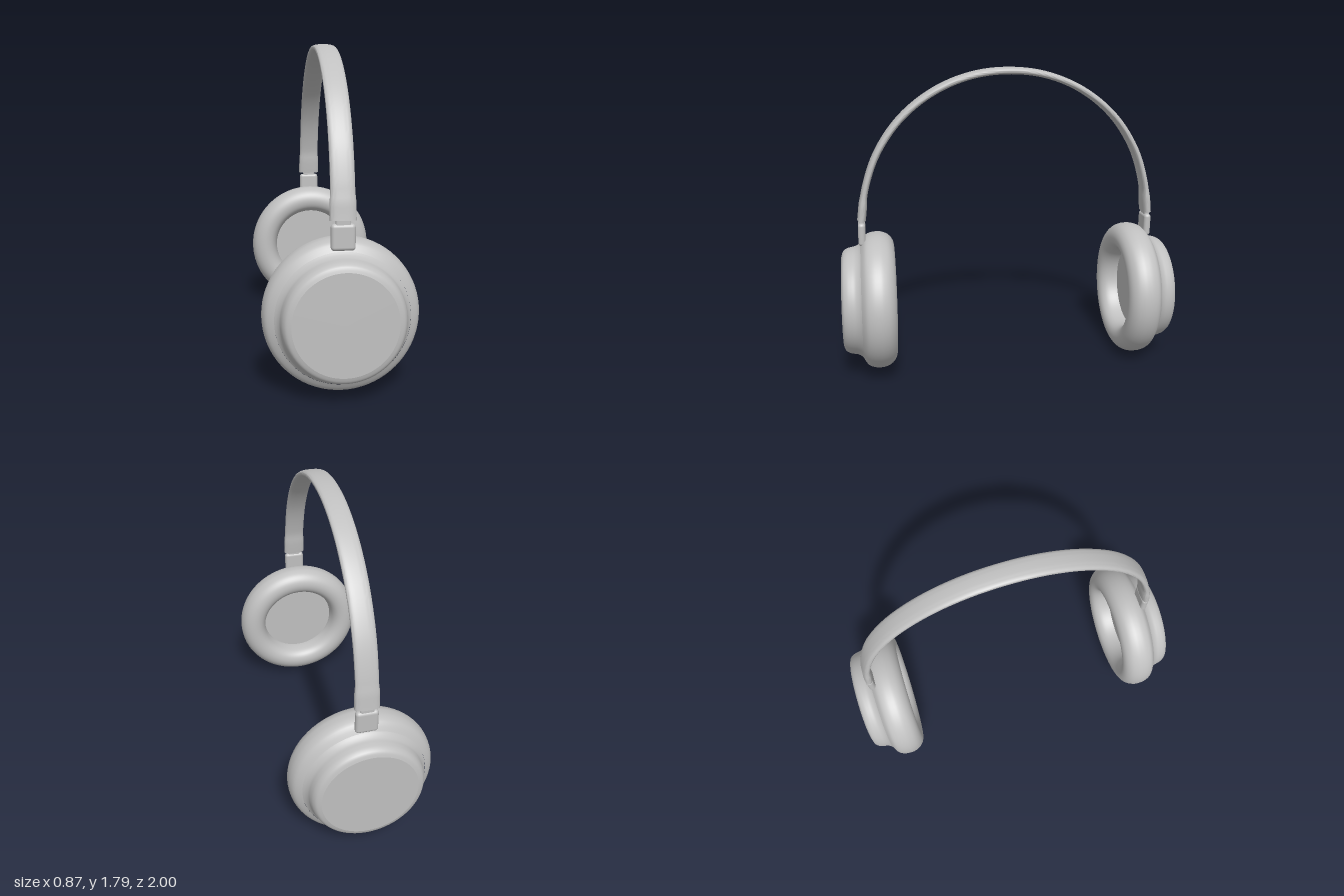
import * as THREE from 'three';
import { toCreasedNormals } from 'three/addons/utils/BufferGeometryUtils.js';
import { RoundedBoxGeometry } from 'three/addons/geometries/RoundedBoxGeometry.js';

const CUP_Y = 0.422;

// Smooth profile of [radius, depth] pairs
const smooth = (pts, n) =>
  new THREE.SplineCurve(pts.map(([r, z]) => new THREE.Vector2(r, z))).getPoints(n);

// Revolve a profile around the cup axis (z)
function revolve(points) {
  return new THREE.LatheGeometry(points, 72).rotateX(Math.PI / 2);
}

// Headband: a cylinder bent along an arch, with a soft flat section and flared ends
function bandGeometry() {
  const half = [[0.863, 0.92], [0.837, 1.1], [0.763, 1.31], [0.622, 1.51], [0.428, 1.66], [0.215, 1.745]];
  const pts = half.map(([z, y]) => new THREE.Vector3(0, y, z));
  pts.push(new THREE.Vector3(0, 1.77, 0));
  half.slice().reverse().forEach(([z, y]) => pts.push(new THREE.Vector3(0, y, -z)));
  const curve = new THREE.CatmullRomCurve3(pts);
  const soft = (v) => Math.sign(v) * Math.abs(v) ** 0.75;
  const geo = new THREE.CylinderGeometry(1, 1, 1, 32, 120);
  const pos = geo.attributes.position;
  const side = new THREE.Vector3(1, 0, 0);
  for (let i = 0; i < pos.count; i++) {
    const t = THREE.MathUtils.clamp(pos.getY(i) + 0.5, 0, 1);
    const flare = 1 - THREE.MathUtils.smoothstep(Math.min(t, 1 - t), 0.03, 0.055);
    const normal = side.clone().cross(curve.getTangentAt(t));
    const p = curve.getPointAt(t)
      .addScaledVector(side, soft(pos.getX(i)) * (0.062 + 0.005 * flare))
      .addScaledVector(normal, soft(pos.getZ(i)) * (0.02 + 0.005 * flare));
    pos.setXYZ(i, p.x, p.y, p.z);
  }
  return toCreasedNormals(geo, 0.9);
}

export function createModel() {
  const grey = new THREE.MeshStandardMaterial({ color: 0xc0c0c0 });
  grey.name = 'grey';
  const model = new THREE.Group();
  model.name = 'headphones';

  const add = (parent, name, geo, x = 0, y = 0, z = 0) => {
    const mesh = new THREE.Mesh(geo, grey);
    mesh.name = name;
    mesh.position.set(x, y, z);
    parent.add(mesh);
  };

  add(model, 'headband', bandGeometry());

  // Ear cup parts, from the inside outwards
  const flat = (r0, r1, z) => [new THREE.Vector2(r0, z), new THREE.Vector2(r1, z)];
  const speaker = revolve(flat(0, 0.24, 0.79));
  const cushion = revolve(smooth([
    [0.236, 0.795], [0.238, 0.765], [0.25, 0.72], [0.276, 0.69], [0.315, 0.679], [0.355, 0.688],
    [0.386, 0.714], [0.402, 0.75], [0.405, 0.78], [0.401, 0.815], [0.384, 0.85], [0.345, 0.876],
  ], 40));
  const shell = revolve(smooth([
    [0.345, 0.874], [0.332, 0.888], [0.321, 0.908], [0.316, 0.932], [0.309, 0.957], [0.294, 0.978], [0.268, 0.988],
  ], 24));
  const face = revolve(flat(0.268, 0, 0.988));

  // Both sides are the same, turned half a circle
  for (const [name, turn] of [['frontSide', 0], ['backSide', Math.PI]]) {
    const side = new THREE.Group();
    side.name = name;
    side.rotation.y = turn;
    add(side, 'speakerCover', speaker, 0, CUP_Y);
    add(side, 'earCushion', cushion, 0, CUP_Y);
    add(side, 'cupShell', shell, 0, CUP_Y);
    add(side, 'cupFace', face, 0, CUP_Y);
    add(side, 'connector', new RoundedBoxGeometry(0.124, 0.136, 0.042, 5, 0.019), 0, 0.838, 0.864);
    add(side, 'slider', new RoundedBoxGeometry(0.076, 0.07, 0.03, 4, 0.01), 0, 0.905, 0.864);
    model.add(side);
  }

  // Slight overall lean
  model.rotation.set(-0.016, 0.041, 0);
  model.position.set(0, 0, 0.009);
  const root = new THREE.Group();
  root.name = 'model';
  root.add(model);
  return root;
}
